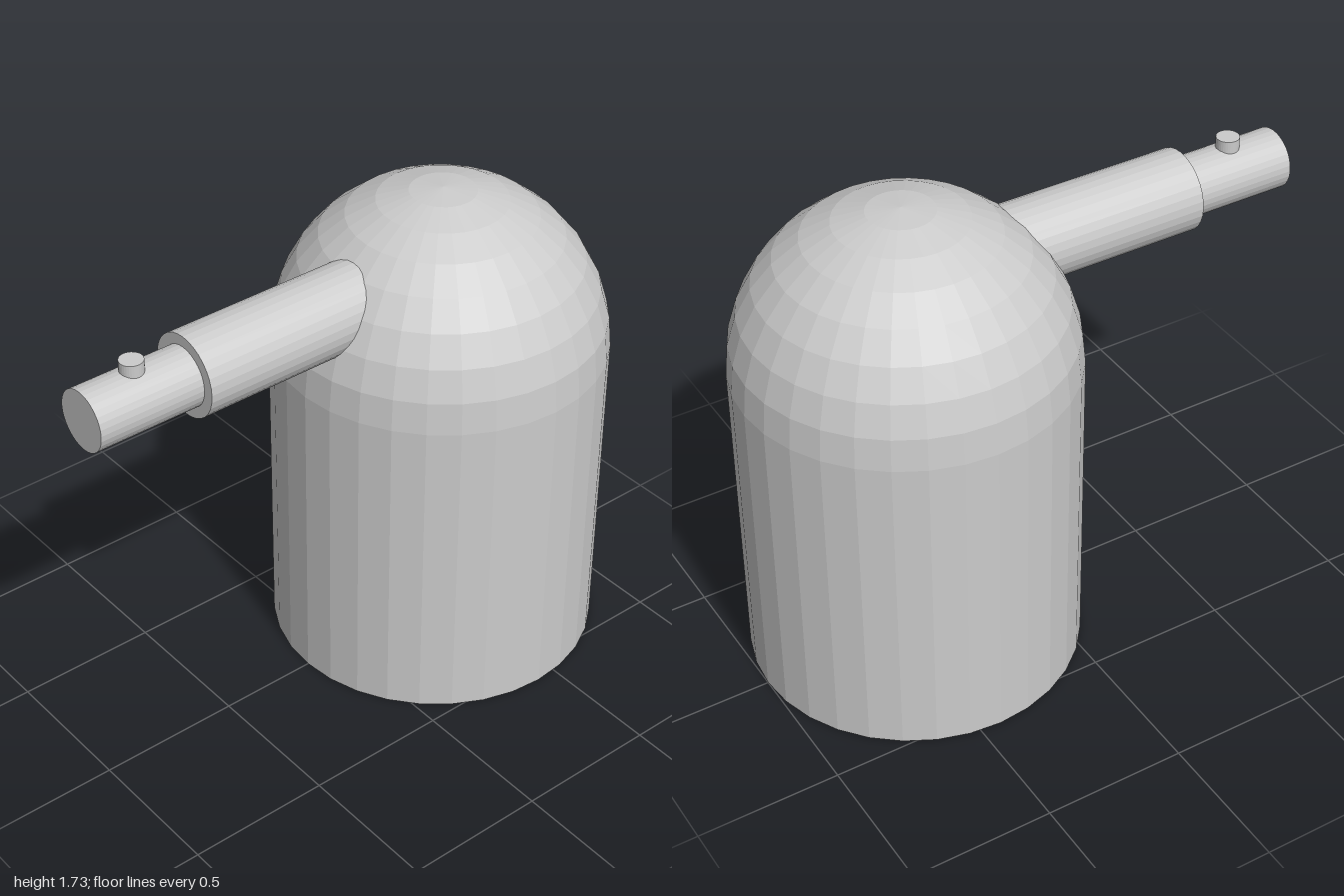
import * as THREE from 'three';

const SIDES = 32;
const RADIUS = 0.575;     // body and dome radius
const SHOULDER = 1.15;    // height where the dome begins
const BODY_Z = -0.425;
const BARREL_Y = 1.44;

export function createModel() {
  const group = new THREE.Group();
  const material = new THREE.MeshStandardMaterial({ color: 0xcccccc, flatShading: true });

  function add(name, geometry, x, y, z) {
    const mesh = new THREE.Mesh(geometry, material);
    mesh.name = name;
    mesh.position.set(x, y, z);
    group.add(mesh);
  }

  // Cylinder lying along z between two depths
  function addTube(name, radius, z0, z1) {
    const geometry = new THREE.CylinderGeometry(radius, radius, z1 - z0, SIDES);
    geometry.rotateX(Math.PI / 2);
    add(name, geometry, 0, BARREL_Y, (z0 + z1) / 2);
  }

  // Domed body: closed base, straight wall and hemispherical cap in one profile
  const profile = [new THREE.Vector2(0, 0), new THREE.Vector2(RADIUS, 0)];
  const rings = 8;
  for (let i = 0; i <= rings; i++) {
    const a = (i / rings) * Math.PI / 2;
    const r = i === rings ? 0 : RADIUS * Math.cos(a);
    profile.push(new THREE.Vector2(r, SHOULDER + RADIUS * Math.sin(a)));
  }
  add('domedBody', new THREE.LatheGeometry(profile, SIDES), 0, 0, BODY_Z);

  // Stepped barrel projecting forward from the dome
  addTube('barrelSleeve', 0.143, -0.2, 0.62);
  addTube('barrelTip', 0.105, 0.6, 1);

  // Small sight pin on top of the tip
  add('sightPin', new THREE.CylinderGeometry(0.04, 0.04, 0.08, SIDES), 0, 1.542, 0.81);

  return group;
}
